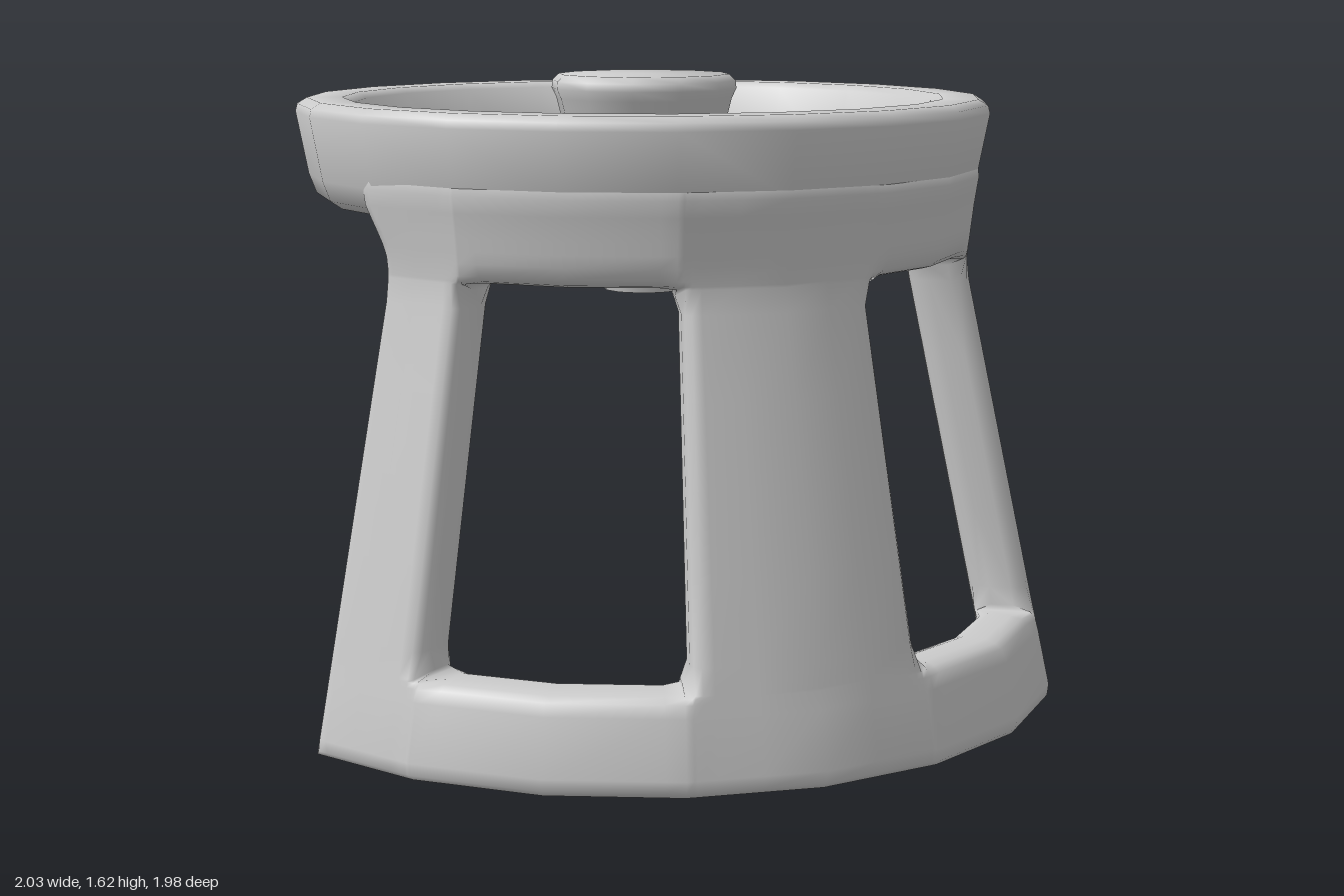
import * as THREE from 'three';
import { toCreasedNormals } from 'three/addons/utils/BufferGeometryUtils.js';

const material = new THREE.MeshStandardMaterial({ color: 0xcccccc });
const RAD = Math.PI / 180;
const STEP = 18;      // degrees per facet
const END = 72;       // half sweep of the skirt, degrees
const EDGE = 0.05;    // rounding of the skirt's edges
const ARC = 0.95;     // mean radius, turns angles into lengths
const CORNER = 0.06;  // rounding of the window corners
const WIN = { u0: 17, u1: 54.5, y0: 0.24, y1: 1.16 };

// Skirt profile: height, outer radius, inner radius
const PROFILE = [
  [0, 1.092, 0.935], [1.1, 0.857, 0.702], [1.15, 0.85, 0.692], [1.2, 0.852, 0.69],
  [1.3, 0.864, 0.69], [1.37, 0.875, 0.704], [1.43, 0.868, 0.75],
];

function radiiAt(y) {
  let i = 0;
  while (i < PROFILE.length - 2 && y > PROFILE[i + 1][0]) i++;
  const [y0, o0, n0] = PROFILE[i], [y1, o1, n1] = PROFILE[i + 1];
  const t = (y - y0) / (y1 - y0);
  return [o0 + (o1 - o0) * t, n0 + (n1 - n0) * t];
}

// Distance from a point of the skirt to its nearest edge
function edgeDistance(u, y) {
  const hx = (WIN.u1 - WIN.u0) / 2 * RAD * ARC, hy = (WIN.y1 - WIN.y0) / 2;
  const qx = Math.abs(u - (WIN.u0 + WIN.u1) / 2) * RAD * ARC - hx + CORNER;
  const qy = Math.abs(y - (WIN.y0 + WIN.y1) / 2) - hy + CORNER;
  const win = Math.hypot(Math.max(qx, 0), Math.max(qy, 0)) + Math.min(Math.max(qx, qy), 0) - CORNER;
  return Math.max(0, Math.min(win, y, (END - u) * RAD * ARC));
}

// Point on the outer (side 1) or inner (side -1) face of the skirt
function skirtPoint(angle, height, side) {
  const sign = Math.sign(angle);
  let u = Math.abs(angle), y = height;
  // pull the window corners in to round them
  if ((u === WIN.u0 || u === WIN.u1) && (y === WIN.y0 || y === WIN.y1)) {
    const shift = 0.293 * CORNER;
    u += (u === WIN.u0 ? 1 : -1) * shift / (RAD * ARC);
    y += (y === WIN.y0 ? 1 : -1) * shift;
  }
  const d = Math.min(edgeDistance(u, y), EDGE);
  const [outer, inner] = radiiAt(y);
  const half = (outer - inner) / 2 - EDGE + Math.sqrt(EDGE ** 2 - (EDGE - d) ** 2);
  const r = (outer + inner) / 2 + side * half;
  // flare the ends into the underside of the ring
  if (u > 64 && y > 1.19) u += 5 * ((Math.min(y, 1.32) - 1.19) / 0.12) ** 2 * (u - 64) / 8;
  // straight facets between the corners
  const k = Math.floor(u / STEP), t = u / STEP - k;
  const a = k * STEP * RAD, b = (k + 1) * STEP * RAD;
  const x = r * (Math.sin(a) * (1 - t) + Math.sin(b) * t);
  const z = r * (Math.cos(a) * (1 - t) + Math.cos(b) * t);
  return [sign * x, y, z];
}

function skirtGeometry() {
  const bevel = [0.4, 1.4, 3];
  const right = [
    8, ...bevel.map((b) => WIN.u0 - b), WIN.u0, 18, WIN.u0 + 3.6, 36, WIN.u1 - 3.6, 54, WIN.u1,
    ...bevel.map((b) => WIN.u1 + b), 64, ...bevel.map((b) => END - b), END,
  ].sort((a, b) => a - b);
  const us = [...right.map((u) => -u).reverse(), 0, ...right];
  const rim = [0.007, 0.02, 0.05];
  const ys = [
    0, ...rim, ...rim.map((b) => WIN.y0 - b), WIN.y0, WIN.y0 + CORNER, 0.5, 0.7, 0.9,
    WIN.y1 - CORNER, WIN.y1, ...rim.map((b) => WIN.y1 + b), 1.24, 1.27, 1.3, 1.33, 1.37, 1.43,
  ].sort((a, b) => a - b);

  const positions = [], index = [];
  const nu = us.length, ny = ys.length;
  for (const side of [1, -1])
    for (const y of ys) for (const u of us) positions.push(...skirtPoint(u, y, side));

  const solid = (i, j) => {
    if (i < 0 || j < 0 || i >= nu - 1 || j >= ny - 1) return false;
    const u = Math.abs(us[i] + us[i + 1]) / 2, y = (ys[j] + ys[j + 1]) / 2;
    return !(u > WIN.u0 && u < WIN.u1 && y > WIN.y0 && y < WIN.y1);
  };
  const quad = (a, b, c, d) => index.push(a, b, c, a, c, d);
  const inside = nu * ny;
  for (let j = 0; j < ny - 1; j++) {
    for (let i = 0; i < nu - 1; i++) {
      if (!solid(i, j)) continue;
      const a = j * nu + i, b = a + 1, c = b + nu, d = a + nu;
      quad(a, b, c, d);
      quad(d + inside, c + inside, b + inside, a + inside);
      // close the thickness wherever the neighbouring cell is open
      const sides = [[a, b, i, j - 1], [b, c, i + 1, j], [c, d, i, j + 1], [d, a, i - 1, j]];
      for (const [p, q, ni, nj] of sides)
        if (!solid(ni, nj)) quad(q, p, p + inside, q + inside);
    }
  }
  const geometry = new THREE.BufferGeometry();
  geometry.setAttribute('position', new THREE.Float32BufferAttribute(positions, 3));
  geometry.setIndex(index);
  geometry.computeVertexNormals();
  return geometry;
}

function lathe(points, sides) {
  return new THREE.LatheGeometry(points.map(([r, y]) => new THREE.Vector2(r, y)), sides);
}

export function createModel() {
  const group = new THREE.Group();
  const add = (name, geometry) => {
    const mesh = new THREE.Mesh(geometry, material);
    mesh.name = name;
    mesh.position.z = -0.1;
    group.add(mesh);
  };

  // Curved wall with two windows
  add('skirt', skirtGeometry());

  // Ring on top of the wall
  add('ring', toCreasedNormals(lathe([
    [0.72, 1.3], [0.82, 1.3], [0.85, 1.32], [0.869, 1.37], [0.9, 1.53], [0.895, 1.55], [0.87, 1.565],
    [0.78, 1.565], [0.755, 1.55], [0.702, 1.34], [0.705, 1.31], [0.72, 1.3],
  ], 20), 50 * RAD));

  // Tapered plug floating in the middle of the ring
  add('plug', toCreasedNormals(lathe([
    [0, 1.06], [0.105, 1.06], [0.23, 1.56], [0.242, 1.585], [0.24, 1.605], [0.222, 1.622], [0, 1.622],
  ], 12), 50 * RAD));

  return group;
}
